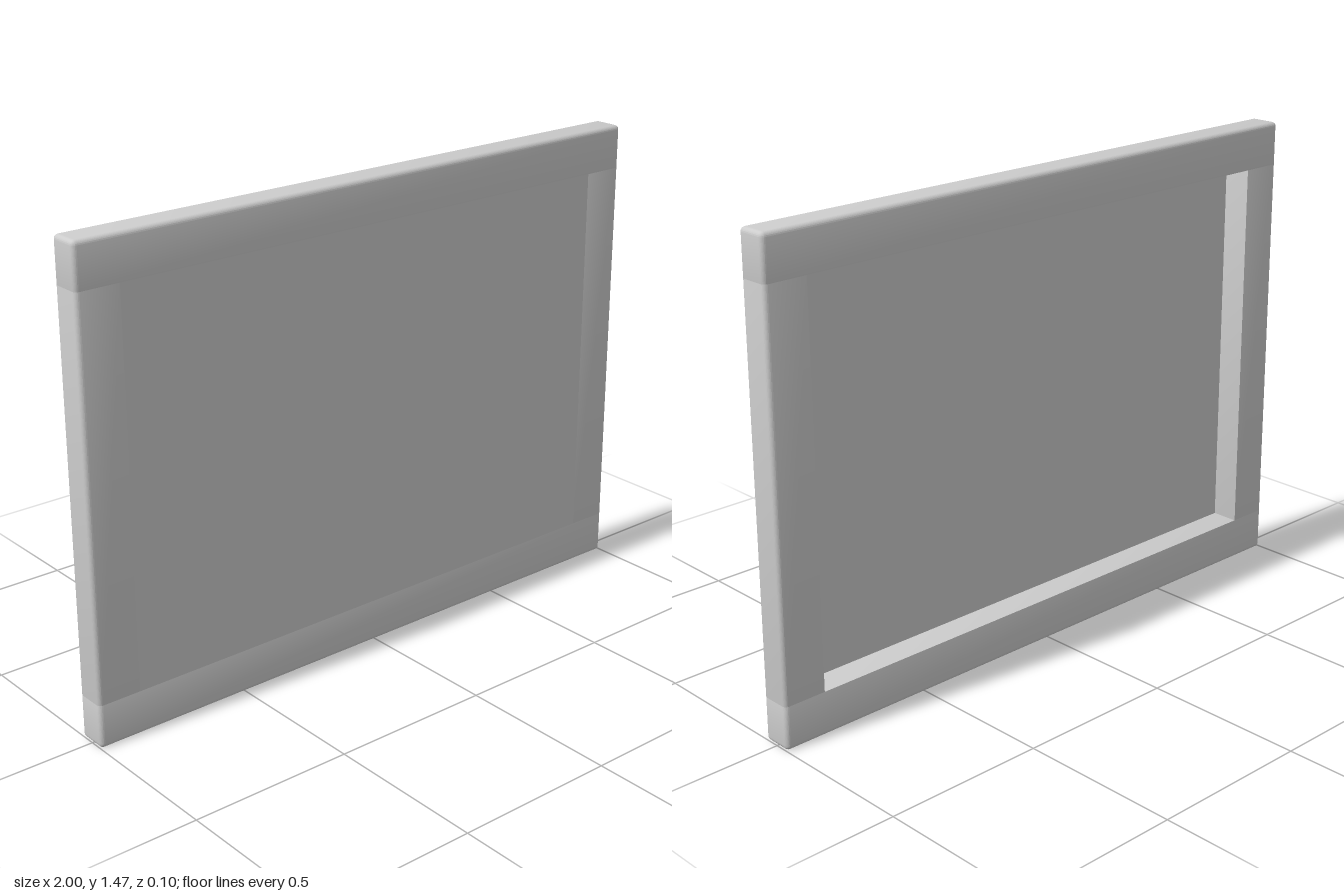
import * as THREE from 'three';
import { RoundedBoxGeometry } from 'three/addons/geometries/RoundedBoxGeometry.js';

const W = 2, H = 1.465, DEPTH = 0.096, BAR = 0.135, R = 0.013;

// Box from min to max whose outer edges are rounded; sides listed in `flat` stay square.
function barGeometry(min, max, flat) {
  const lo = min.clone(), hi = max.clone();
  if (flat.includes('-x')) lo.x -= R;
  if (flat.includes('+x')) hi.x += R;
  if (flat.includes('-y')) lo.y -= R;
  if (flat.includes('+y')) hi.y += R;
  const size = hi.clone().sub(lo), mid = hi.clone().add(lo).multiplyScalar(0.5);
  const rounded = new RoundedBoxGeometry(size.x, size.y, size.z, 3, R);
  const geo = rounded.index ? rounded.toNonIndexed() : rounded;
  geo.translate(mid.x, mid.y, mid.z);

  // Cut the extended sides back to square planes
  const pos = geo.attributes.position, p = new THREE.Vector3(), n = new THREE.Vector3();
  for (let i = 0; i < pos.count; i++) {
    p.fromBufferAttribute(pos, i).clamp(min, max);
    pos.setXYZ(i, p.x, p.y, p.z);
  }
  geo.computeVertexNormals();

  // Lean the normals outwards a little for a softly pillowed surface
  const centre = min.clone().add(max).multiplyScalar(0.5);
  const half = max.clone().sub(min).multiplyScalar(0.5);
  const nor = geo.attributes.normal;
  for (let i = 0; i < pos.count; i++) {
    p.fromBufferAttribute(pos, i).sub(centre).divide(half);
    n.fromBufferAttribute(nor, i).addScaledVector(p, 0.13).normalize();
    nor.setXYZ(i, n.x, n.y, n.z);
  }
  return geo;
}

export function createModel() {
  const model = new THREE.Group();
  model.name = 'framedPanel';
  const grey = new THREE.MeshStandardMaterial({ color: 0xcccccc });
  grey.name = 'lightGrey';

  const x = W / 2, z = DEPTH / 2, inner = x - BAR;
  // Rails run the full width, stiles fit between them
  const bars = [
    ['topRail', [-x, H - BAR], [x, H], ['-y']],
    ['bottomRail', [-x, 0], [x, BAR], ['+y']],
    ['leftStile', [inner, BAR], [x, H - BAR], ['-x', '-y', '+y']],
    ['rightStile', [-x, BAR], [-inner, H - BAR], ['+x', '-y', '+y']],
  ];
  for (const [name, a, b, flat] of bars) {
    const geo = barGeometry(new THREE.Vector3(...a, -z), new THREE.Vector3(...b, z), flat);
    const mesh = new THREE.Mesh(geo, grey);
    mesh.name = name;
    model.add(mesh);
  }

  // Thin panel flush with the front, leaving a deep recess behind
  const thick = 0.008;
  const panel = new THREE.Mesh(new THREE.BoxGeometry(inner * 2, H - BAR * 2, thick), grey);
  panel.name = 'frontPanel';
  panel.position.set(0, H / 2, z - thick / 2);
  model.add(panel);

  return model;
}
